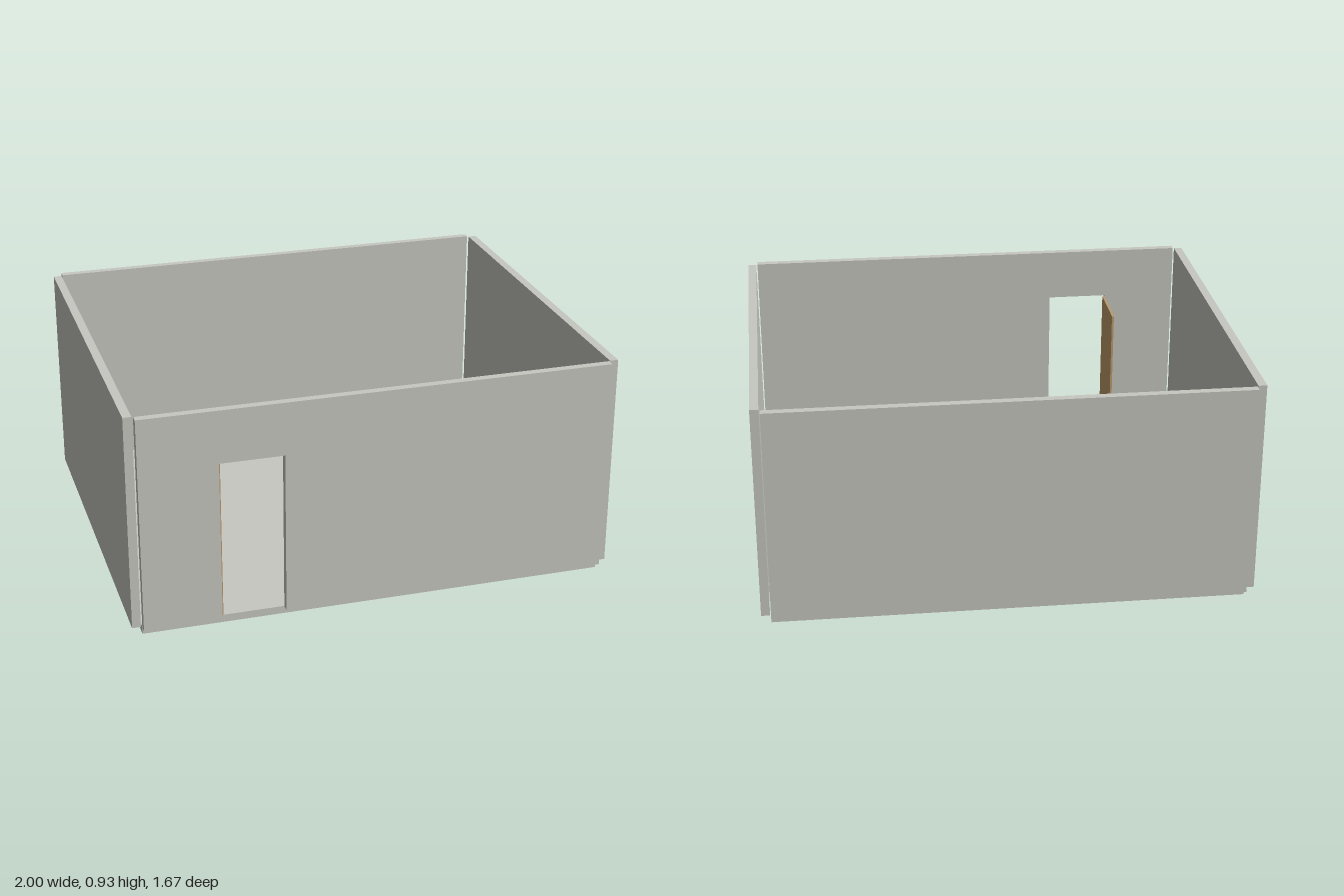
import * as THREE from 'three';

const paint = (name, color) => {
  const m = new THREE.MeshStandardMaterial({ color });
  m.name = name;
  return m;
};

export function createModel() {
  const grey = paint('plasterGrey', 0xc8c8c1);
  const wood = paint('warmWood', 0xbf9b6b);
  const teal = paint('chairTeal', 0x4f9da2);
  const room = new THREE.Group();
  room.name = 'room';

  // box given by its min and max along each axis
  const box = (parent, name, mat, [x0, x1], [y0, y1], [z0, z1]) => {
    const mesh = new THREE.Mesh(new THREE.BoxGeometry(x1 - x0, y1 - y0, z1 - z0), mat);
    mesh.position.set((x0 + x1) / 2, (y0 + y1) / 2, (z0 + z1) / 2);
    mesh.name = name;
    parent.add(mesh);
  };

  // four square legs at the corners of a rectangle
  const legs = (parent, name, mat, [x0, x1], [y0, y1], [z0, z1], t) => {
    for (const x of [x0, x1 - t])
      for (const z of [z0, z1 - t]) box(parent, name, mat, [x, x + t], [y0, y1], [z, z + t]);
  };

  const ground = 0.032, top = 0.93;

  // floor slab and the three plain walls
  box(room, 'floor', grey, [-0.96, 0.96], [0, ground], [-0.8, 0.8]);
  box(room, 'leftWall', grey, [0.965, 1], [ground, top], [-0.8, 0.8]);
  box(room, 'rightWall', grey, [-1, -0.965], [ground, top], [-0.8, 0.8]);
  box(room, 'backWall', grey, [-0.96, 0.96], [ground, top], [-0.838, -0.806]);

  // front wall, notched for the doorway
  const outline = new THREE.Shape([
    [-0.96, ground], [-0.645, ground], [-0.645, 0.71], [-0.385, 0.71],
    [-0.385, ground], [0.96, ground], [0.96, top], [-0.96, top],
  ].map(([x, y]) => new THREE.Vector2(x, y)));
  const frontWall = new THREE.Mesh(
    new THREE.ExtrudeGeometry(outline, { depth: 0.033, bevelEnabled: false }), grey);
  frontWall.position.z = 0.802;
  frontWall.name = 'frontWall';
  room.add(frontWall);

  // door standing open into the room
  box(room, 'door', wood, [-0.643, -0.634], [ground, 0.705], [0.545, 0.802]);

  // desk
  const desk = new THREE.Group();
  desk.name = 'desk';
  box(desk, 'deskTop', wood, [-0.16, 0.16], [0.257, 0.273], [0.06, 0.252]);
  legs(desk, 'deskLeg', wood, [-0.15, 0.15], [ground, 0.257], [0.07, 0.242], 0.016);
  room.add(desk);

  // chair facing the desk
  const chair = new THREE.Group();
  chair.name = 'chair';
  box(chair, 'seat', teal, [-0.08, 0.08], [0.16, 0.176], [-0.105, 0.045]);
  box(chair, 'backrest', teal, [-0.08, 0.08], [0.16, 0.32], [-0.115, -0.105]);
  legs(chair, 'chairLeg', teal, [-0.075, 0.075], [ground, 0.16], [-0.1, 0.04], 0.013);
  room.add(chair);

  return room;
}
